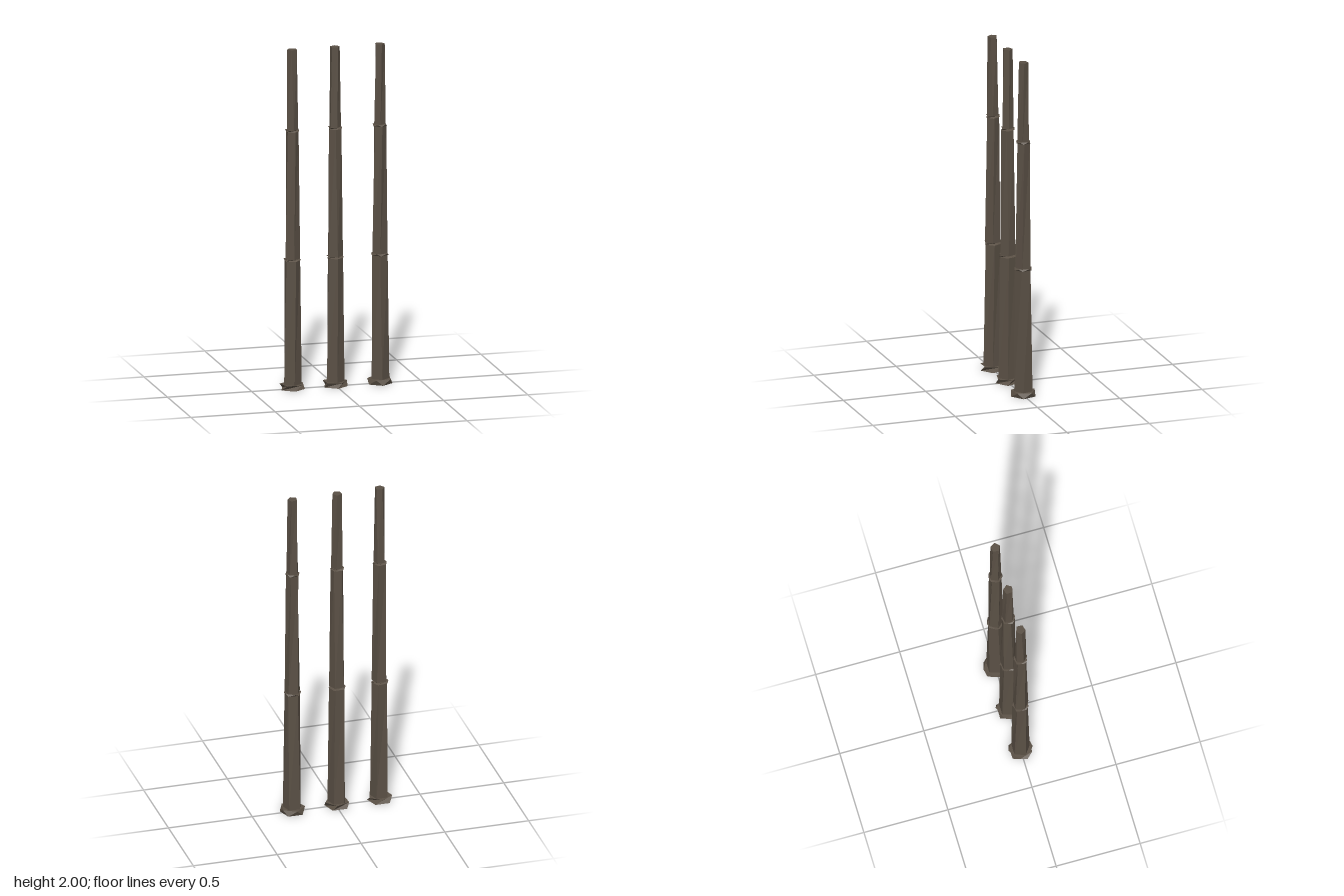
import * as THREE from 'three';

const SIDES = 5;

// Five-sided drum whose cross-section turns from startTurn to endTurn (degrees)
function twistedDrum(y0, y1, r0, r1, startTurn, endTurn) {
  const h = y1 - y0;
  const geo = new THREE.CylinderGeometry(r1, r0, h, SIDES, 1);
  geo.translate(0, h / 2, 0);
  const p = geo.attributes.position;
  const v = new THREE.Vector3();
  const up = new THREE.Vector3(0, 1, 0);
  for (let i = 0; i < p.count; i++) {
    v.fromBufferAttribute(p, i);
    const turn = THREE.MathUtils.lerp(startTurn, endTurn, v.y / h);
    v.applyAxisAngle(up, THREE.MathUtils.degToRad(turn));
    p.setXYZ(i, v.x, v.y + y0, v.z);
  }
  // Separate faces keep the facets flat
  const flat = geo.toNonIndexed();
  flat.computeVertexNormals();
  return flat;
}

// name, bottom y, top y, bottom radius, top radius
const PARTS = [
  ['foot', 0, 0.03, 0.073, 0.072],
  ['lowerShaft', 0.03, 0.757, 0.055, 0.047],
  ['lowerCollar', 0.757, 0.768, 0.051, 0.05],
  ['middleShaft', 0.768, 1.517, 0.046, 0.038],
  ['upperCollar', 1.517, 1.528, 0.042, 0.041],
  ['upperShaft', 1.528, 2, 0.035, 0.029],
];

// Each pole's position and the start and end turn of each of its parts
const POLES = [
  { name: 'rightPole', x: -0.26, turns: [[0, 36], [0, 14], [10, 36], [0, 16], [8, 34], [0, -20]] },
  { name: 'middlePole', x: -0.006, turns: [[0, 22], [0, 8], [0, 30], [6, -8], [0, 28], [10, 22]] },
  { name: 'leftPole', x: 0.26, turns: [[0, -30], [0, -12], [-6, -32], [-10, 8], [0, -28], [-8, 10]] },
];

export function createModel() {
  const model = new THREE.Group();
  model.name = 'poles';
  const darkWood = new THREE.MeshStandardMaterial({ color: 0x5a5045 });
  darkWood.name = 'darkWood';

  for (const { name, x, turns } of POLES) {
    const pole = new THREE.Group();
    pole.name = name;
    pole.position.x = x;
    PARTS.forEach(([part, y0, y1, r0, r1], i) => {
      const mesh = new THREE.Mesh(twistedDrum(y0, y1, r0, r1, ...turns[i]), darkWood);
      mesh.name = part;
      pole.add(mesh);
    });
    model.add(pole);
  }
  return model;
}
